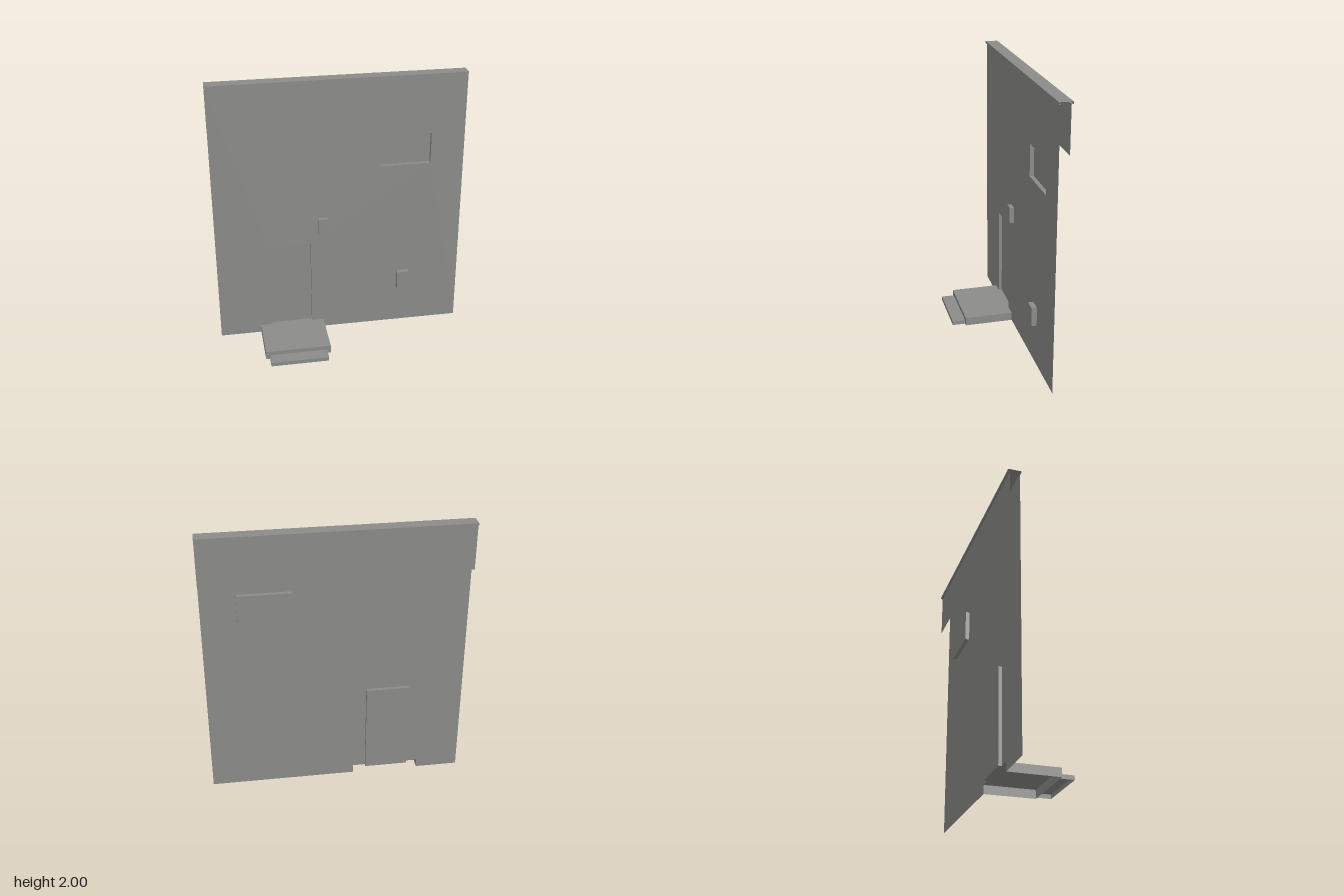
import * as THREE from 'three';

const WALL_Z = -0.188, HALF_W = 0.915, LIP_Y = 1.985;

// Box given by its bounds, leaving out the listed sides
// (0 right, 1 left, 2 top, 3 bottom, 4 front, 5 back)
function openBox(x0, x1, y0, y1, z0, z1, skip = []) {
  const g = new THREE.BoxGeometry(x1 - x0, y1 - y0, z1 - z0);
  g.translate((x0 + x1) / 2, (y0 + y1) / 2, (z0 + z1) / 2);
  const old = Array.from(g.index.array);
  g.setIndex(old.filter((_, i) => !skip.includes(Math.floor(i / 6))));
  g.clearGroups();
  return g;
}

// Folded sheet: a [z, y] profile drawn out across the full width
function foldedSheet(profile) {
  const pos = [];
  for (let i = 0; i < profile.length - 1; i++) {
    const [za, ya] = profile[i], [zb, yb] = profile[i + 1];
    const a = [-HALF_W, ya, za], b = [HALF_W, ya, za];
    const c = [HALF_W, yb, zb], d = [-HALF_W, yb, zb];
    pos.push(...b, ...a, ...d, ...b, ...d, ...c);
  }
  const g = new THREE.BufferGeometry();
  g.setAttribute('position', new THREE.Float32BufferAttribute(pos, 3));
  g.computeVertexNormals();
  return g;
}

function rectHole(x0, x1, y0, y1) {
  const p = new THREE.Path();
  p.moveTo(x0, y0);
  p.lineTo(x0, y1);
  p.lineTo(x1, y1);
  p.lineTo(x1, y0);
  p.closePath();
  return p;
}

export function createModel() {
  const model = new THREE.Group();
  model.name = 'buildingFacade';
  const grey = new THREE.MeshStandardMaterial({ color: 0x8c8c8a, side: THREE.DoubleSide });
  grey.name = 'plainGrey';

  const add = (name, geometry) => {
    const mesh = new THREE.Mesh(geometry, grey);
    mesh.name = name;
    model.add(mesh);
  };

  // Wall sheet, notched at the foot for the landing and the doorway above it
  const outline = new THREE.Shape([
    [-HALF_W, 0], [-0.61, 0], [-0.61, 0.062], [-0.525, 0.062],
    [-0.525, 0.735], [-0.215, 0.735], [-0.215, 0.062], [-0.127, 0.062],
    [-0.127, 0], [HALF_W, 0], [HALF_W, LIP_Y], [-HALF_W, LIP_Y],
  ].map(([x, y]) => new THREE.Vector2(x, y)));
  outline.holes.push(rectHole(0.3, 0.67, 1.325, 1.555));
  add('wall', new THREE.ShapeGeometry(outline).translate(0, 0, WALL_Z));

  // Recessed window and door: reveals and back pane, open to the front
  add('window', openBox(0.3, 0.67, 1.325, 1.555, -0.217, WALL_Z, [4]));
  add('door', openBox(-0.525, -0.215, 0.062, 0.735, -0.212, WALL_Z, [4]));

  // Coping with small lips, and the short parapet sheet behind it
  add('coping', foldedSheet([
    [WALL_Z, LIP_Y], [-0.179, LIP_Y], [-0.179, 2],
    [-0.27, 2], [-0.27, LIP_Y], [-0.257, LIP_Y],
  ]));
  add('parapetBack', foldedSheet([[-0.257, LIP_Y], [-0.257, 1.665]]));

  // Wall fixtures
  add('wallLamp', openBox(-0.16, -0.09, 0.825, 0.945, WALL_Z, -0.156, [5]));
  add('meterBox', openBox(0.44, 0.53, 0.305, 0.445, WALL_Z, -0.15, [5]));

  // Hollow landing and the lower step
  add('landing', openBox(-0.61, -0.127, 0, 0.062, WALL_Z, 0.172, [3, 5]));
  add('step', openBox(-0.58, -0.155, 0, 0.03, 0.172, 0.268, [3, 5]));

  return model;
}
